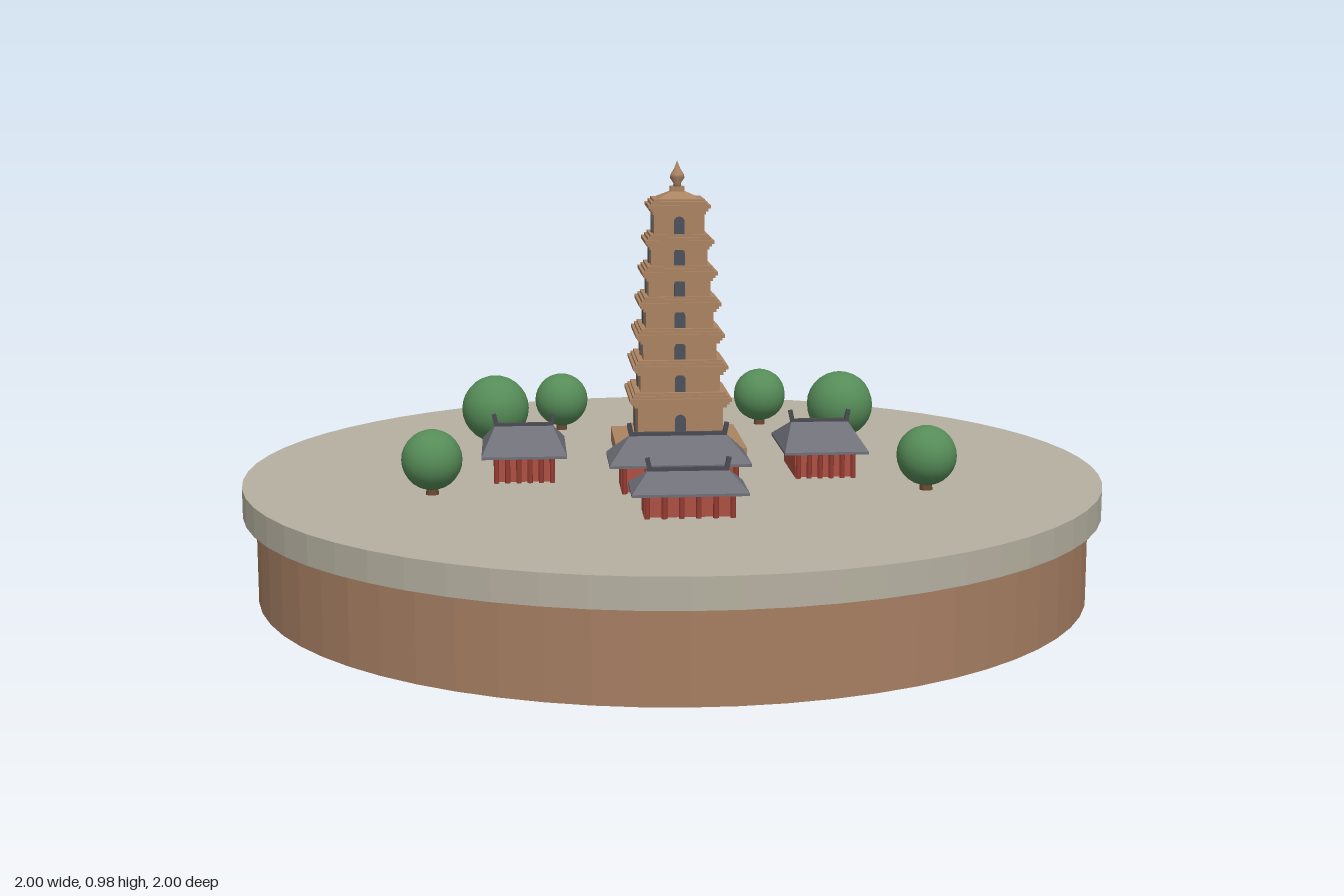
import * as THREE from 'three';

const mat = (name, color) => {
  const m = new THREE.MeshStandardMaterial({ color });
  m.name = name;
  return m;
};

// Faceted normals for low-poly parts
const facet = (geo) => {
  const g = geo.index ? geo.toNonIndexed() : geo;
  g.computeVertexNormals();
  return g;
};

const GROUND = 0.267;
const TURN = -0.35; // whole compound is turned the same way

export function createModel() {
  const model = new THREE.Group();
  model.name = 'templeCompound';

  const stone = mat('paving stone', 0xb5b0a0);
  const earth = mat('earth brown', 0xa67e62);
  const brick = mat('pagoda brick', 0xab8362);
  const opening = mat('dark opening', 0x4c525c);
  const tile = mat('roof tile', 0x6f7078);
  const ridgeMat = mat('ridge tile', 0x4b4c52);
  const red = mat('red wall', 0xad5043);
  const darkRed = mat('red column', 0x963c32);
  const leaf = mat('foliage green', 0x568c58);
  const bark = mat('bark', 0x6b4a32);

  const add = (parent, name, geo, material, x = 0, y = 0, z = 0) => {
    const m = new THREE.Mesh(geo, material);
    m.name = name;
    m.position.set(x, y, z);
    parent.add(m);
    return m;
  };
  const box = (parent, name, w, h, d, material, x, y, z) =>
    add(parent, name, new THREE.BoxGeometry(w, h, d), material, x, y, z);
  const group = (parent, name, x, y, z, turn = 0) => {
    const g = new THREE.Group();
    g.name = name;
    g.position.set(x, y, z);
    g.rotation.y = turn;
    parent.add(g);
    return g;
  };

  // Round base: earth drum under a wider stone slab
  add(model, 'earthBase', facet(new THREE.CylinderGeometry(0.97, 0.97, 0.2, 64)), earth, 0, 0.1, 0);
  add(model, 'stoneSlab', facet(new THREE.CylinderGeometry(1, 1, GROUND - 0.2, 64)), stone, 0, (GROUND + 0.2) / 2, 0);

  // Arched window plate, base at y = 0
  const arch = (w, h) => {
    const s = new THREE.Shape();
    s.moveTo(-w / 2, 0);
    s.lineTo(w / 2, 0);
    s.lineTo(w / 2, h - w / 2);
    s.absarc(0, h - w / 2, w / 2, 0, Math.PI, false);
    s.lineTo(-w / 2, 0);
    return new THREE.ExtrudeGeometry(s, { depth: 0.004, bevelEnabled: false, curveSegments: 6 });
  };

  // Seven-storey square pagoda
  const pagoda = group(model, 'pagoda', 0.1, 0, -0.19, TURN);
  box(pagoda, 'plinth', 0.313, 0.035, 0.313, brick, 0, GROUND + 0.0175, 0);
  box(pagoda, 'plinthStep', 0.235, 0.014, 0.235, brick, 0, 0.309, 0);
  const eaveY = [0.41, 0.488, 0.564, 0.64, 0.714, 0.789, 0.873];
  let floorY = 0.3;
  eaveY.forEach((y, i) => {
    const eave = 0.246 - 0.016 * i;
    const body = eave - 0.04 + i * 0.002;
    const storey = group(pagoda, 'storey' + (i + 1), 0, 0, 0);
    box(storey, 'storeyWall', body, y - floorY, body, brick, 0, (y + floorY) / 2, 0);
    // Corbelled eave, stepping out and back in
    [[-0.012, 0.022], [-0.004, 0.01], [0.003, 0], [0.01, 0.014], [0.016, 0.026]].forEach(([dy, inset]) => {
      box(storey, 'eaveCourse', eave - inset, 0.0085, eave - inset, brick, 0, y + dy, 0);
    });
    // One arched opening on each side
    const h = i === 0 ? 0.06 : 0.042;
    const bottom = i === 0 ? 0.316 : floorY + 0.021;
    for (let k = 0; k < 4; k++) {
      const side = group(storey, 'openingSide', 0, 0, 0, k * Math.PI / 2);
      add(side, 'archedOpening', arch(0.026, h), opening, 0, bottom, body / 2 - 0.001);
    }
    floorY = y;
  });
  const cap = add(pagoda, 'topRoof', facet(new THREE.CylinderGeometry(0.02, 0.095, 0.025, 4)), brick, 0, 0.898, 0);
  cap.rotation.y = Math.PI / 4;
  box(pagoda, 'finialBase', 0.034, 0.014, 0.034, brick, 0, 0.914, 0);
  const finial = [[0, 0.915], [0.011, 0.915], [0.009, 0.928], [0.018, 0.942], [0.016, 0.95], [0.007, 0.965], [0, 0.983]];
  add(pagoda, 'finial', new THREE.LatheGeometry(finial.map(([r, y]) => new THREE.Vector2(r, y)), 12), brick);

  // Hipped roof with its ridge along x
  const hipRoof = (w, d, ridge, h) => {
    const x = w / 2, z = d / 2, r = ridge / 2;
    const A = [-x, 0, z], B = [x, 0, z], C = [x, 0, -z], D = [-x, 0, -z];
    const L = [-r, h, 0], R = [r, h, 0];
    const tris = [A, B, R, A, R, L, C, D, L, C, L, R, B, C, R, D, A, L, A, D, C, A, C, B];
    const g = new THREE.BufferGeometry();
    g.setAttribute('position', new THREE.Float32BufferAttribute(tris.flat(), 3));
    g.computeVertexNormals();
    return g;
  };

  // Halls: x, z, roof width, roof depth, wall height, roof height
  const halls = [
    ['leftHall', 0.315, 0.147, 0.195, 0.25, 0.06, 0.052],
    ['rightHall', -0.34, -0.09, 0.195, 0.245, 0.06, 0.052],
    ['mainHall', -0.072, 0.19, 0.318, 0.171, 0.063, 0.055],
    ['gateHall', -0.163, 0.44, 0.25, 0.137, 0.052, 0.04],
  ];
  for (const [name, x, z, w, d, wallH, roofH] of halls) {
    const hall = group(model, name, x, GROUND, z, TURN);
    const bw = w - 0.055, bd = d - 0.06;
    box(hall, 'hallWall', bw, wallH, bd, red, 0, wallH / 2, 0);
    for (let i = 0; i < 6; i++) {
      add(hall, 'column', new THREE.CylinderGeometry(0.006, 0.006, wallH, 8), darkRed,
        -bw / 2 + 0.006 + (i * (bw - 0.012)) / 5, wallH / 2, bd / 2 + 0.012);
    }
    box(hall, 'eaveBoard', w, 0.006, d, tile, 0, wallH + 0.001, 0);
    const ridge = w * 0.68;
    add(hall, 'hipRoof', hipRoof(w, d, ridge, roofH), tile, 0, wallH + 0.004, 0);
    const top = wallH + 0.004 + roofH;
    box(hall, 'ridgeBar', ridge, 0.01, 0.01, ridgeMat, 0, top, 0);
    for (const s of [-1, 1]) {
      const orn = box(hall, 'ridgeOrnament', 0.01, 0.03, 0.01, ridgeMat, s * ridge / 2, top + 0.011, 0);
      orn.rotation.z = -s * 0.2;
    }
  }

  // Round trees
  const trees = [
    [-0.605, 0.035, 0.068], [-0.285, -0.44, 0.083], [-0.055, -0.575, 0.068],
    [0.45, -0.43, 0.068], [0.53, -0.14, 0.083], [0.425, 0.45, 0.068],
  ];
  for (const [x, z, r] of trees) {
    const tree = group(model, 'tree', x, GROUND, z);
    add(tree, 'trunk', new THREE.CylinderGeometry(0.012, 0.015, 0.05, 8), bark, 0, 0.025, 0);
    add(tree, 'crown', new THREE.SphereGeometry(r, 20, 14), leaf, 0, r + 0.011, 0);
  }

  return model;
}
